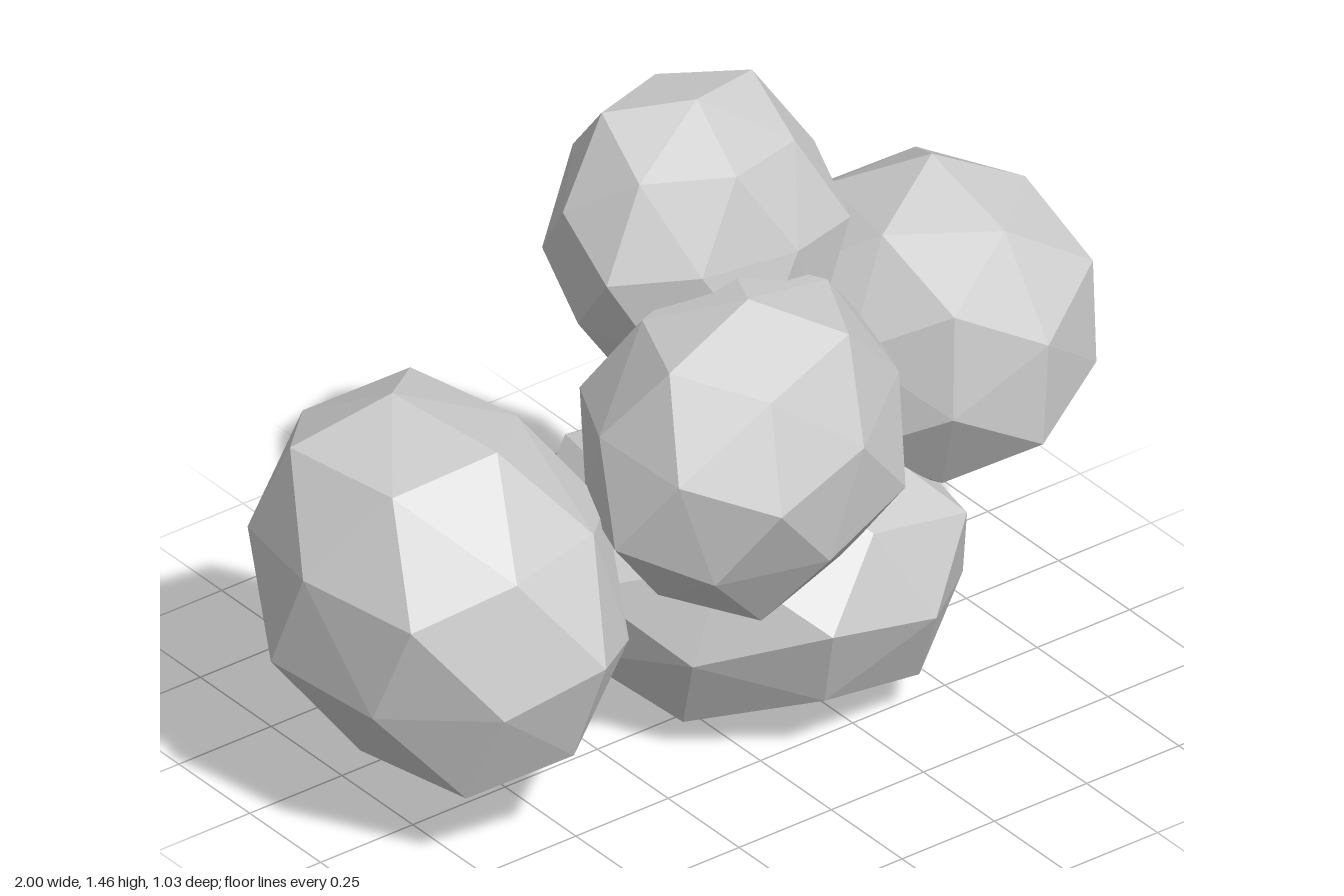
import * as THREE from 'three';
import { ConvexGeometry } from 'three/addons/geometries/ConvexGeometry.js';

const FACE_CENTRE_RADIUS = 0.94;

// 32 points: icosahedron corners plus slightly lower face centres, giving diamond facets
function facetPoints() {
  const pos = new THREE.IcosahedronGeometry(1, 0).attributes.position;
  const points = [];
  const add = (p) => {
    if (!points.some((o) => o.distanceTo(p) < 0.01)) points.push(p);
  };
  for (let i = 0; i < pos.count; i += 3) {
    const face = [0, 1, 2].map((k) => new THREE.Vector3().fromBufferAttribute(pos, i + k));
    face.forEach(add);
    add(face[0].clone().add(face[1]).add(face[2]).setLength(FACE_CENTRE_RADIUS));
  }
  const first = [0, 1, 2].map((k) => new THREE.Vector3().fromBufferAttribute(pos, k));
  const axis = first[0].clone().add(first[1]).add(first[2]);
  return { points, axis, corner: first[0] };
}

// Rotation frame whose y is the face axis and whose x leans to a corner
function frame(axis, corner) {
  const y = axis.clone().normalize();
  const x = corner.clone().addScaledVector(y, -corner.dot(y)).normalize();
  return new THREE.Matrix4().makeBasis(x, y, x.clone().cross(y));
}

// One faceted puff: turned by a face axis and corner, leaned (yz, zx), fitted to its box
function puff(material, { name, min, max, axis, corner, lean: [yz, zx] }) {
  const base = facetPoints();
  const turn = frame(new THREE.Vector3(...axis), new THREE.Vector3(...corner))
    .multiply(frame(base.axis, base.corner).transpose());
  const skew = new THREE.Matrix4().set(1, 0, zx, 0, 0, 1, yz, 0, zx, yz, 1, 0, 0, 0, 0, 1);
  const points = base.points.map((p) => p.clone().applyMatrix4(turn).applyMatrix4(skew));
  const box = new THREE.Box3().setFromPoints(points);
  const size = box.getSize(new THREE.Vector3());
  const low = new THREE.Vector3(...min);
  const span = new THREE.Vector3(...max).sub(low);
  points.forEach((p) => p.sub(box.min).divide(size).multiply(span).add(low));
  const mesh = new THREE.Mesh(new ConvexGeometry(points), material);
  mesh.name = name;
  return mesh;
}

const PUFFS = [
  { name: 'basePuff', min: [-0.29, 0, -0.44], max: [0.595, 0.67, 0.415],
    axis: [-0.43, -1.16, 1.78], corner: [0.41, -0.64, 0.65], lean: [0, 0.12] },
  { name: 'frontPuff', min: [-0.39, 0.4, -0.18], max: [0.42, 1.15, 0.515],
    axis: [0.63, 0.52, 2.01], corner: [-0.45, 0.03, 0.89], lean: [0, -0.06] },
  { name: 'leftPuff', min: [0.285, 0.38, -0.365], max: [1, 1.15, 0.38],
    axis: [2.38, 0.32, 0.48], corner: [0.87, 0.35, -0.35], lean: [0, 0] },
  { name: 'rightPuff', min: [-1, 0.12, -0.52], max: [-0.27, 0.96, 0.4],
    axis: [-0.1, 2.27, -0.5], corner: [-0.69, 0.63, -0.35], lean: [-0.1, 0.04] },
  { name: 'topPuff', min: [-0.2, 0.76, -0.41], max: [0.435, 1.455, 0.15],
    axis: [0.19, 1.96, -1.32], corner: [0.52, 0.84, -0.14], lean: [-0.08, 0.03] },
];

export function createModel() {
  const model = new THREE.Group();
  model.name = 'puffCluster';
  const material = new THREE.MeshStandardMaterial({ color: 0xcccccc, flatShading: true });
  PUFFS.forEach((p) => model.add(puff(material, p)));
  return model;
}
